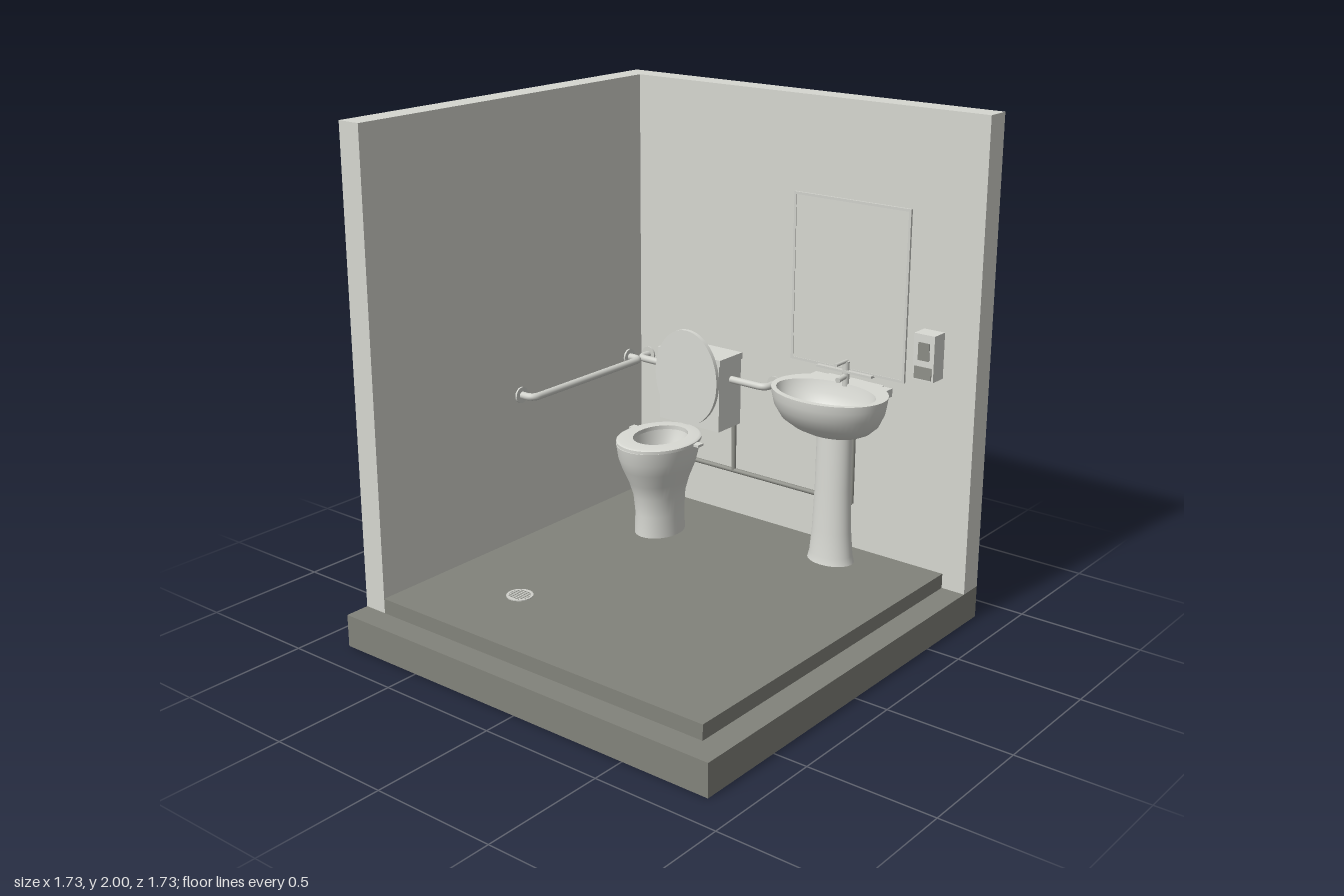
import * as THREE from 'three';

const mat = (name, hex) => {
  const m = new THREE.MeshStandardMaterial({ color: hex });
  m.name = name;
  return m;
};

export function createModel() {
  const wall = mat('wall plaster', 0xd6d7d0);
  const floor = mat('floor grey', 0x82837b);
  const ceramic = mat('ceramic', 0xd9dad4);
  const metal = mat('metal', 0xd0d1cb);
  const pipe = mat('pipe grey', 0x8f9089);
  const dark = mat('dark panel', 0x8a8b85);

  const root = new THREE.Group();
  root.name = 'washroom';
  const group = (name) => {
    const g = new THREE.Group();
    g.name = name;
    root.add(g);
    return g;
  };
  const add = (parent, name, geo, material) => {
    const m = new THREE.Mesh(geo, material);
    m.name = name;
    parent.add(m);
    return m;
  };
  // box given by its min and max on each axis
  const box = (parent, name, material, x0, x1, y0, y1, z0, z1) => {
    const m = add(parent, name, new THREE.BoxGeometry(x1 - x0, y1 - y0, z1 - z0), material);
    m.position.set((x0 + x1) / 2, (y0 + y1) / 2, (z0 + z1) / 2);
    return m;
  };
  // cylinder between two points
  const rod = (parent, name, material, a, b, r, sides = 20) => {
    const p = new THREE.Vector3(...a), q = new THREE.Vector3(...b);
    const d = q.clone().sub(p);
    const m = add(parent, name, new THREE.CylinderGeometry(r, r, d.length(), sides), material);
    m.position.copy(p).add(q).multiplyScalar(0.5);
    m.quaternion.setFromUnitVectors(new THREE.Vector3(0, 1, 0), d.normalize());
    return m;
  };
  // elliptical cross-sections [y, rx, rz, cz]; a repeated ring makes a sharp edge
  const loft = (parent, name, material, cx, rings, n = 48) => {
    const pos = [], idx = [];
    rings.forEach(([y, rx, rz, cz], i) => {
      for (let k = 0; k < n; k++) {
        const t = (k / n) * Math.PI * 2;
        pos.push(cx + rx * Math.cos(t), y, cz + rz * Math.sin(t));
      }
      if (!i || rings[i - 1].every((v, j) => v === rings[i][j])) return;
      for (let k = 0; k < n; k++) {
        const a = (i - 1) * n + k, b = (i - 1) * n + ((k + 1) % n);
        idx.push(a, a + n, b, b, a + n, b + n);
      }
    });
    const g = new THREE.BufferGeometry();
    g.setAttribute('position', new THREE.Float32BufferAttribute(pos, 3));
    g.setIndex(idx);
    g.computeVertexNormals();
    return add(parent, name, g, material);
  };

  // room shell
  const room = group('room');
  box(room, 'foundation', floor, -0.865, 0.865, 0, 0.13, -0.865, 0.865);
  box(room, 'floorScreed', floor, -0.765, 0.765, 0.13, 0.175, -0.765, 0.765);
  box(room, 'floorTile', floor, -0.765, 0.765, 0.175, 0.19, -0.765, 0.765);
  box(room, 'backWall', wall, -0.865, 0.865, 0.13, 2, -0.865, -0.765);
  box(room, 'sideWall', wall, -0.865, -0.765, 0.13, 2, -0.765, 0.765);

  // floor drain with slots
  const drain = group('floorDrain');
  rod(drain, 'drainPlate', metal, [-0.385, 0.185, 0.42], [-0.385, 0.194, 0.42], 0.052, 32);
  for (let i = -3; i <= 3; i++) {
    const w = Math.sqrt(0.042 ** 2 - (i * 0.011) ** 2);
    box(drain, 'drainSlot', dark, -0.385 - w, -0.385 + w, 0.193, 0.195, 0.418 + i * 0.011, 0.422 + i * 0.011);
  }

  // toilet
  const toilet = group('toilet');
  const tx = -0.385;
  loft(toilet, 'toiletBowl', ceramic, tx, [
    [0.19, 0, 0, -0.425], [0.19, 0.094, 0.118, -0.425], [0.19, 0.094, 0.118, -0.425],
    [0.28, 0.091, 0.116, -0.425], [0.36, 0.096, 0.123, -0.422], [0.42, 0.112, 0.142, -0.42],
    [0.48, 0.136, 0.168, -0.417], [0.53, 0.149, 0.185, -0.415], [0.585, 0.156, 0.194, -0.415],
    [0.585, 0.156, 0.194, -0.415], [0.585, 0.103, 0.133, -0.43], [0.585, 0.103, 0.133, -0.43],
    [0.53, 0.092, 0.118, -0.43], [0.46, 0.072, 0.088, -0.43], [0.42, 0.058, 0.07, -0.43],
    [0.42, 0.058, 0.07, -0.43], [0.42, 0, 0, -0.43],
  ]);
  loft(toilet, 'toiletSeat', ceramic, tx, [
    [0.585, 0.1, 0.13, -0.43], [0.585, 0.16, 0.195, -0.42], [0.585, 0.16, 0.195, -0.42],
    [0.597, 0.16, 0.195, -0.42], [0.597, 0.16, 0.195, -0.42], [0.602, 0.15, 0.185, -0.42],
    [0.602, 0.1, 0.13, -0.43], [0.602, 0.1, 0.13, -0.43], [0.585, 0.1, 0.13, -0.43],
  ]);
  for (const s of [-1, 1]) {
    const x = tx + s * 0.168;
    box(toilet, 'seatTab', ceramic, x - 0.015, x + 0.015, 0.583, 0.593, -0.48, -0.445);
  }
  const lid = add(toilet, 'raisedLid', new THREE.CylinderGeometry(1, 1, 0.018, 48), ceramic);
  lid.rotation.x = Math.PI / 2;
  lid.scale.set(0.16, 1, 0.203);
  lid.position.set(tx, 0.807, -0.603);
  box(toilet, 'tank', ceramic, tx - 0.156, tx + 0.156, 0.595, 0.88, -0.765, -0.617);
  box(toilet, 'tankCover', ceramic, tx - 0.163, tx + 0.163, 0.88, 0.907, -0.765, -0.612);
  rod(toilet, 'flushButton', metal, [tx, 0.9, -0.695], [tx, 0.912, -0.695], 0.02);

  // wash basin
  const basin = group('washBasin');
  const bx = 0.34;
  loft(basin, 'basinBowl', ceramic, bx, [
    [0.735, 0, 0, -0.6], [0.735, 0.125, 0.09, -0.6], [0.735, 0.125, 0.09, -0.6],
    [0.755, 0.165, 0.118, -0.59], [0.79, 0.205, 0.15, -0.578], [0.84, 0.23, 0.175, -0.572],
    [0.88, 0.238, 0.184, -0.57], [0.91, 0.242, 0.187, -0.57], [0.91, 0.242, 0.187, -0.57],
    [0.91, 0.212, 0.134, -0.543], [0.91, 0.212, 0.134, -0.543], [0.86, 0.196, 0.122, -0.545],
    [0.815, 0.15, 0.093, -0.555], [0.79, 0.08, 0.05, -0.565], [0.785, 0, 0, -0.57],
  ], 56);
  loft(basin, 'basinPedestal', ceramic, bx, [
    [0.19, 0, 0, -0.615], [0.19, 0.1, 0.077, -0.615], [0.19, 0.1, 0.077, -0.615],
    [0.22, 0.092, 0.071, -0.615], [0.32, 0.083, 0.064, -0.615], [0.5, 0.076, 0.059, -0.615],
    [0.745, 0.073, 0.057, -0.615],
  ], 40);
  box(basin, 'basinBack', ceramic, 0.16, 0.515, 0.875, 0.908, -0.745, -0.695);
  box(basin, 'wallMount', ceramic, 0.21, 0.465, 0.875, 0.905, -0.765, -0.7);
  rod(basin, 'basinDrain', metal, [bx, 0.783, -0.57], [bx, 0.79, -0.57], 0.018);
  rod(basin, 'tapBody', metal, [bx, 0.9, -0.682], [bx, 1.0, -0.682], 0.014);
  rod(basin, 'tapSpout', metal, [bx, 0.94, -0.68], [bx, 0.935, -0.625], 0.011);
  rod(basin, 'tapLever', metal, [bx, 1.0, -0.74], [bx, 1.0, -0.607], 0.007);

  // mirror with thin rim and shelf
  const mirror = group('mirror');
  box(mirror, 'mirrorPane', wall, 0.085, 0.59, 0.97, 1.625, -0.694, -0.689);
  for (const [x0, x1, y0, y1] of [[0.075, 0.6, 1.625, 1.635], [0.075, 0.6, 0.96, 0.97],
    [0.075, 0.085, 0.97, 1.625], [0.59, 0.6, 0.97, 1.625]]) {
    box(mirror, 'mirrorRim', metal, x0, x1, y0, y1, -0.696, -0.686);
  }
  box(mirror, 'mirrorShelf', metal, 0.21, 0.465, 0.956, 0.965, -0.765, -0.667);

  // soap dispenser
  const soap = group('soapDispenser');
  box(soap, 'dispenserBody', ceramic, 0.632, 0.722, 0.985, 1.167, -0.765, -0.692);
  box(soap, 'dispenserWindow', dark, 0.653, 0.702, 1.065, 1.135, -0.693, -0.689);
  box(soap, 'dispenserPush', pipe, 0.64, 0.714, 0.992, 1.04, -0.693, -0.688);

  // grab bars: two legs off the wall, joined by rounded corners
  const grabBar = (name, a, b, out) => {
    const g = group(name);
    const A = new THREE.Vector3(...a), B = new THREE.Vector3(...b), O = new THREE.Vector3(...out);
    const along = B.clone().sub(A).normalize(), n = O.clone().normalize(), r = 0.035;
    const A2 = A.clone().add(O), B2 = B.clone().add(O);
    const at = (p, d, s) => p.clone().addScaledVector(d, s);
    const path = new THREE.CurvePath();
    path.add(new THREE.LineCurve3(A, at(A2, n, -r)));
    path.add(new THREE.QuadraticBezierCurve3(at(A2, n, -r), A2, at(A2, along, r)));
    path.add(new THREE.LineCurve3(at(A2, along, r), at(B2, along, -r)));
    path.add(new THREE.QuadraticBezierCurve3(at(B2, along, -r), B2, at(B2, n, -r)));
    path.add(new THREE.LineCurve3(at(B2, n, -r), B));
    add(g, 'bar', new THREE.TubeGeometry(path, 120, 0.015, 14), metal);
    for (const p of [A, B]) rod(g, 'flange', metal, p.toArray(), at(p, n, 0.008).toArray(), 0.033, 28);
  };
  grabBar('backGrabBar', [-0.72, 0.805, -0.765], [-0.055, 0.805, -0.765], [0, 0, 0.066]);
  grabBar('sideGrabBar', [-0.765, 0.805, -0.68], [-0.765, 0.805, -0.01], [0.066, 0, 0]);

  // water pipes along the back wall
  const pipes = group('waterPipes');
  const z = -0.752;
  for (const [x0, y0, x1, y1] of [[-0.75, 0.19, -0.75, 0.385], [-0.76, 0.385, 0.34, 0.385],
    [-0.25, 0.385, -0.25, 0.6], [0.34, 0.385, 0.34, 0.88]]) {
    rod(pipes, 'pipe', pipe, [x0, y0, z], [x1, y1, z], 0.01, 12);
  }
  return root;
}
